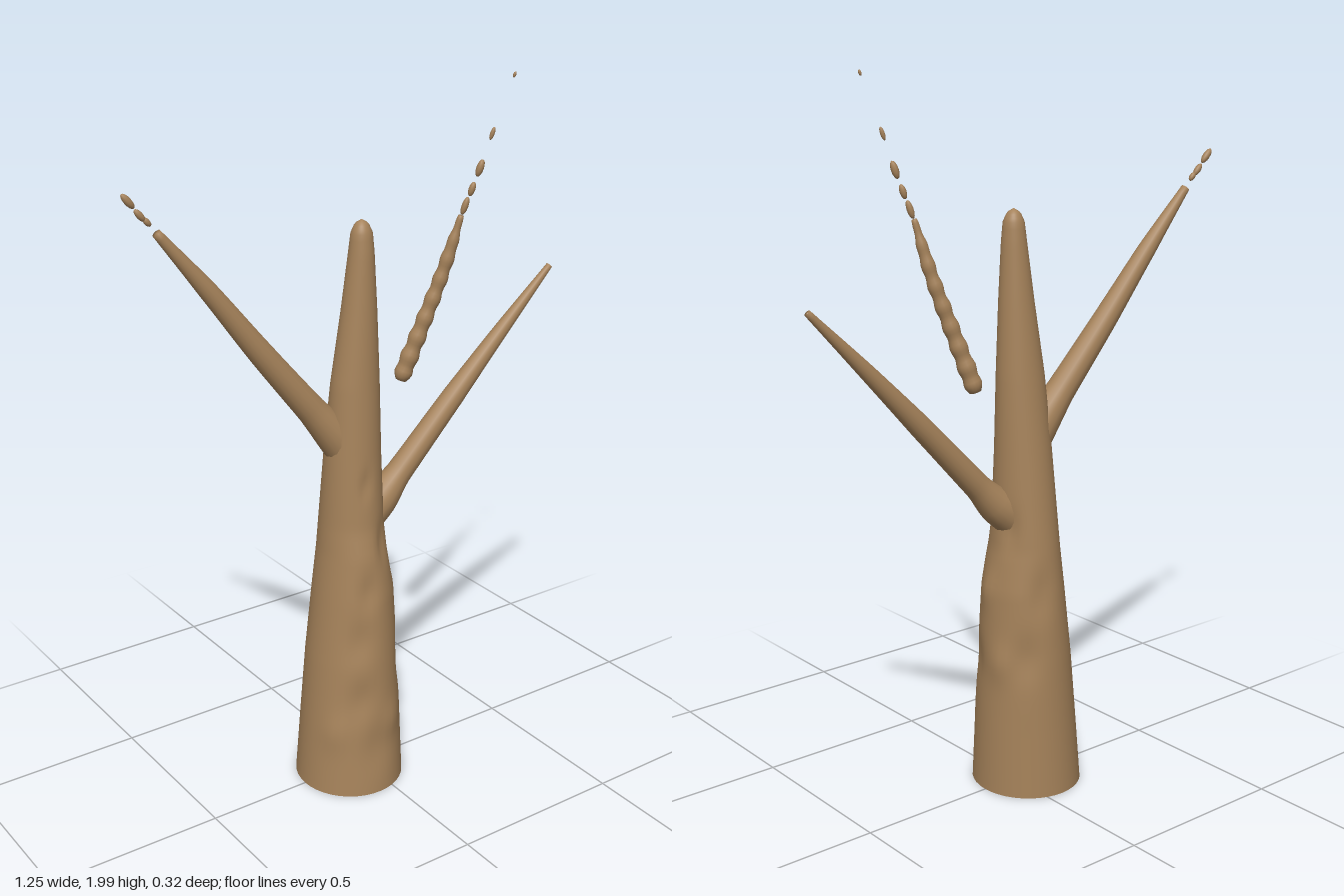
import * as THREE from 'three';

const bark = new THREE.MeshStandardMaterial({ color: 0xa5825a, roughness: 0.9 });

// Joins equal-length rings of Vector3 into one smooth closed skin
function loft(rings) {
  const n = rings[0].length, pos = [], idx = [];
  rings.forEach(r => r.forEach(p => pos.push(p.x, p.y, p.z)));
  for (let i = 0; i < rings.length - 1; i++) {
    for (let j = 0; j < n; j++) {
      const a = i * n + j, b = i * n + (j + 1) % n;
      idx.push(a, a + n, b, b, a + n, b + n);
    }
  }
  const geo = new THREE.BufferGeometry();
  geo.setAttribute('position', new THREE.Float32BufferAttribute(pos, 3));
  geo.setIndex(idx);
  geo.computeVertexNormals();
  return geo;
}

function addMesh(parent, name, geo) {
  const mesh = new THREE.Mesh(geo, bark);
  mesh.name = name;
  parent.add(mesh);
  return mesh;
}

// Piecewise-linear lookup of a row in a table keyed by its first column
function lookup(table, t) {
  let i = 0;
  while (i < table.length - 2 && t > table[i + 1][0]) i++;
  const a = table[i], b = table[i + 1];
  const k = THREE.MathUtils.clamp((t - a[0]) / (b[0] - a[0]), 0, 1);
  return a.map((v, c) => v + (b[c] - v) * k);
}

// Trunk outline: height, min x, max x, min z, max z
const TRUNK = [
  [0.01, -0.2, 0.105, -0.157, 0.16],
  [0.2, -0.183, 0.1, -0.148, 0.146],
  [0.4, -0.163, 0.094, -0.14, 0.132],
  [0.6, -0.138, 0.083, -0.129, 0.116],
  [0.72, -0.122, 0.064, -0.118, 0.1],
  [0.8, -0.115, 0.06, -0.11, 0.084],
  [1.0, -0.102, 0.055, -0.09, 0.068],
  [1.2, -0.085, 0.051, -0.07, 0.056],
  [1.4, -0.056, 0.042, -0.05, 0.045],
  [1.56, -0.035, 0.033, -0.035, 0.035],
  [1.61, -0.029, 0.029, -0.029, 0.029],
  [1.635, -0.018, 0.018, -0.018, 0.018],
  [1.645, -0.001, 0.001, -0.001, 0.001],
];

// Bark dents and knots: angle from +x toward +z, height, spread, depth
const DENTS = [
  [1.95, 0.3, 0.05, -0.012], [2.0, 0.48, 0.05, -0.01], [1.8, 0.62, 0.04, -0.01],
  [1.6, 0.15, 0.06, -0.01], [1.2, 0.22, 0.04, 0.008], [1.7, 0.93, 0.03, -0.008],
  [1.1, 0.75, 0.04, -0.01], [0.2, 0.6, 0.04, 0.008], [0.5, 0.38, 0.05, -0.01],
  [-0.3, 0.4, 0.04, 0.008], [-0.9, 0.42, 0.05, -0.01], [-1.3, 0.6, 0.05, -0.009],
  [-0.4, 0.78, 0.04, -0.01], [2.5, 0.2, 0.04, 0.006],
];

function trunkGeometry() {
  const sides = 40, steps = 90, rings = [];
  const heights = Array.from({ length: steps + 1 }, (_, i) => 0.01 + 1.6 * i / steps);
  heights.push(1.62, 1.63, 1.637, 1.642, 1.645);
  for (const y of heights) {
    const [, x0, x1, z0, z1] = lookup(TRUNK, y);
    const ring = [];
    for (let j = 0; j < sides; j++) {
      const a = j / sides * Math.PI * 2;
      let bump = 0;
      for (const [da, dy, s, d] of DENTS) {
        const off = Math.atan2(Math.sin(a - da), Math.cos(a - da)) * 0.12;
        bump += d * Math.exp(-(off * off * 2 + (y - dy) ** 2 * 0.6) / (s * s));
      }
      ring.push(new THREE.Vector3(
        (x0 + x1) / 2 + ((x1 - x0) / 2 + bump) * Math.cos(a), y,
        (z0 + z1) / 2 + ((z1 - z0) / 2 + bump) * Math.sin(a)));
    }
    rings.push(ring);
  }
  return loft(rings);
}

// Round limb through points [x, y, z, radius], closed at both ends
function limbGeometry(points, wobble = 0) {
  const curve = new THREE.CatmullRomCurve3(points.map(p => new THREE.Vector3(...p.slice(0, 3))));
  const steps = 48, sides = 16, rings = [];
  const frames = curve.computeFrenetFrames(steps);
  for (let i = -1; i <= steps + 1; i++) {
    const k = THREE.MathUtils.clamp(i, 0, steps), u = k / steps;
    const f = curve.getUtoTmapping(u) * (points.length - 1);
    const s = Math.min(Math.floor(f), points.length - 2);
    let r = THREE.MathUtils.lerp(points[s][3], points[s + 1][3], f - s);
    r *= 1 + wobble * Math.sin(i * 1.1);
    if (i < 0 || i > steps) r = 0.0005;
    const c = curve.getPointAt(u);
    const ring = [];
    for (let j = 0; j < sides; j++) {
      const a = -j / sides * Math.PI * 2;
      ring.push(c.clone().addScaledVector(frames.normals[k], r * Math.cos(a))
        .addScaledVector(frames.binormals[k], r * Math.sin(a)));
    }
    rings.push(ring);
  }
  return loft(rings);
}

// Small tapered slivers beyond a broken twig: x, y, z, half length, radius
function addFragments(parent, name, list, direction) {
  const dir = new THREE.Vector3(...direction).normalize();
  list.forEach(([x, y, z, half, r]) => {
    const m = addMesh(parent, name, new THREE.SphereGeometry(1, 10, 8));
    m.scale.set(r, half, r);
    m.position.set(x, y, z);
    m.quaternion.setFromUnitVectors(new THREE.Vector3(0, 1, 0), dir);
  });
}

export function createModel() {
  const tree = new THREE.Group();
  tree.name = 'bareTree';

  addMesh(tree, 'trunk', trunkGeometry());

  // Underside of the trunk
  const base = addMesh(tree, 'trunkBase', new THREE.CircleGeometry(1, 40));
  base.rotation.x = Math.PI / 2;
  base.scale.set(0.152, 0.158, 1);
  base.position.set(-0.0475, 0.01, 0.0015);

  // Main branches, flared where they leave the trunk
  addMesh(tree, 'leftBranch', limbGeometry([
    [0.0, 0.8, -0.005, 0.06], [0.06, 0.845, 0.0, 0.052], [0.12, 0.905, 0.003, 0.037],
    [0.3, 1.1, 0.016, 0.031], [0.46, 1.27, 0.028, 0.021], [0.617, 1.432, 0.04, 0.009],
  ]));
  addMesh(tree, 'rightBranch', limbGeometry([
    [-0.03, 1.0, -0.015, 0.06], [-0.08, 1.065, -0.022, 0.052], [-0.14, 1.14, -0.03, 0.041],
    [-0.28, 1.32, -0.05, 0.034], [-0.42, 1.51, -0.072, 0.025], [-0.545, 1.67, -0.09, 0.012],
  ]));
  addFragments(tree, 'rightBranchFragment', [
    [-0.567, 1.7, -0.094, 0.014, 0.008], [-0.584, 1.718, -0.097, 0.02, 0.009],
    [-0.611, 1.755, -0.103, 0.024, 0.01],
  ], [-0.6, 0.75, -0.1]);

  // Thin detached twig that breaks up toward its top
  addMesh(tree, 'detachedTwig', limbGeometry([
    [0.14, 1.175, -0.012, 0.016], [0.147, 1.2, -0.008, 0.025], [0.185, 1.32, 0.015, 0.022],
    [0.23, 1.46, 0.04, 0.019], [0.25, 1.54, 0.055, 0.017], [0.27, 1.63, 0.071, 0.007],
  ], 0.1));
  addFragments(tree, 'twigFragment', [
    [0.279, 1.655, 0.075, 0.025, 0.009], [0.293, 1.7, 0.085, 0.02, 0.009],
    [0.31, 1.755, 0.095, 0.024, 0.01], [0.333, 1.845, 0.113, 0.018, 0.006],
    [0.379, 1.994, 0.139, 0.008, 0.004],
  ], [0.27, 1, 0.18]);

  return tree;
}
